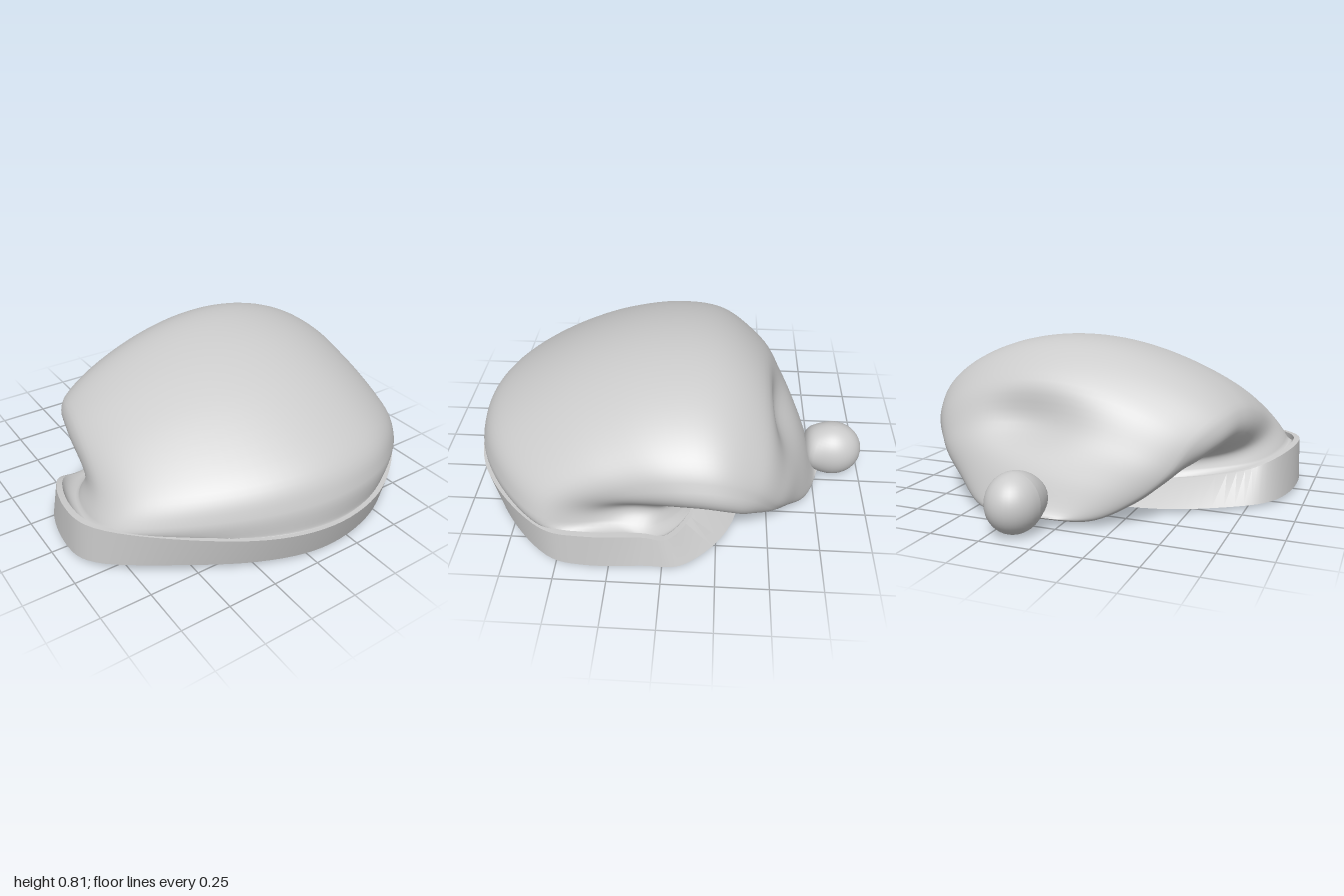
import * as THREE from 'three';
import { toCreasedNormals } from 'three/addons/utils/BufferGeometryUtils.js';

const SEG = 96;
const V = (x, y, z) => new THREE.Vector3(x, y, z);

// Closed loft: rows of points, each row a ring of SEG points
function loft(rows, closeRows) {
  const pos = [], idx = [];
  rows.forEach(r => r.forEach(p => pos.push(p.x, p.y, p.z)));
  const n = rows.length, last = closeRows ? n : n - 1;
  for (let i = 0; i < last; i++) {
    for (let j = 0; j < SEG; j++) {
      const k = (j + 1) % SEG, m = (i + 1) % n;
      const a = i * SEG + j, b = i * SEG + k, c = m * SEG + k, d = m * SEG + j;
      idx.push(a, b, c, a, c, d);
    }
  }
  const g = new THREE.BufferGeometry();
  g.setAttribute('position', new THREE.Float32BufferAttribute(pos, 3));
  g.setIndex(idx);
  g.computeVertexNormals();
  return g;
}

// Opening outline, from the front round by the left side: x, z, top height, bottom height
const RIM = [
  [.08, 1.0, .19, .02], [.40, .95, .19, .02], [.67, .79, .20, .03], [.89, .56, .21, .04],
  [.93, .36, .21, .03], [.91, .10, .18, .02], [.88, -.12, .155, .02], [.60, -.33, .13, .02],
  [.10, -.39, .11, .02], [-.35, -.36, .12, .02], [-.70, -.19, .16, .02], [-.87, -.01, .22, .02],
  [-.93, .27, .25, .03], [-.88, .48, .25, .05], [-.62, .71, .23, .06], [-.25, .92, .20, .04],
];

function ring(fn) {
  const c = new THREE.CatmullRomCurve3(RIM.map(fn), true, 'catmullrom', .5);
  return Array.from({ length: SEG }, (_, j) => c.getPoint(j / SEG));
}
const inset = (p, s) => V(p.x * s, p.y, .3 + (p.z - .3) * s);

// The band leans outwards in front and inwards at the back
const backness = z => THREE.MathUtils.smoothstep(-z, -.1, .36);
const outerTop = ring(([x, z, t]) => V(x * (z > .1 ? .99 : .97), t, z + .17 * backness(z)));
const outerBottom = ring(([x, z, , b]) => V(x, b, z > .4 ? z - (z - .4) * .09 : z));
const innerTop = outerTop.map(p => inset(p, .968));
const innerBottom = outerBottom.map(p => inset(p, .972));

// Stations of the folded cap: outer y, z; inner fold y, z; right edge x, left edge x
const STATIONS = [
  [.19, .965, .11, -.20, -.88, .90],
  [.32, .97, .15, -.19, -.84, .87],
  [.48, .87, .185, -.20, -.78, .85],
  [.685, .50, .20, -.23, -.74, .86],
  [.795, .12, .20, -.27, -.70, .88],
  [.795, -.23, .17, -.31, -.65, .87],
  [.64, -.49, .13, -.36, -.55, .81],
  [.42, -.61, .08, -.42, -.46, .72],
  [.24, -.69, .03, -.50, -.33, .58],
  [.08, -.755, .005, -.62, -.14, .42],
  [.07, -.80, .05, -.77, .10, .18],
];

// Soft dents: centre, spread, push
const DENTS = [
  [V(.25, .46, -.57), V(.25, .14, .14), V(0, -.02, .07)],
  [V(.87, .25, .18), V(.2, .09, .19), V(-.05, 0, 0)],
];

function capGeometry() {
  const curve = f => new THREE.CatmullRomCurve3(STATIONS.map(f), false, 'catmullrom', .5);
  const outer = curve(s => V(0, s[0], s[1]));
  const inner = curve(s => V(0, s[2], s[3]));
  const width = curve(s => V(s[4], s[5], 0));
  const shape = ring(([x, z]) => V(x / .93, 0, (z - .305) / .695));
  const rows = [], N = 70;
  for (let i = 0; i <= N; i++) {
    const t = i / N;
    const O = outer.getPoint(t), I = inner.getPoint(t), W = width.getPoint(t);
    const rimLike = 1 - THREE.MathUtils.smoothstep(t, 0, .45);
    // Sections are egg shaped over the crown, fuller towards the fold
    const egg = .22 * THREE.MathUtils.smoothstep(t, .1, .35) * (1 - THREE.MathUtils.smoothstep(t, .55, .75));
    const atBand = Math.max(0, 1 - t / .08);
    const row = [];
    for (let j = 0; j < SEG; j++) {
      const th = j / SEG * Math.PI * 2, c = Math.cos(th);
      const a = THREE.MathUtils.lerp(c, shape[j].z, rimLike);
      const b = THREE.MathUtils.lerp(Math.sin(th) * (1 - egg * c), shape[j].x, rimLike);
      const p = I.clone().lerp(O, (a + 1) / 2);
      p.x = (W.x + W.y) / 2 + b * (W.y - W.x) / 2 + .09 * Math.max(0, a) * Math.sin(Math.PI * t);
      const q = p.clone();
      for (const [centre, s, push] of DENTS) {
        const d = p.clone().sub(centre).divide(s);
        q.addScaledVector(push, Math.exp(-d.lengthSq()));
      }
      row.push(q.lerp(innerTop[j], atBand));
    }
    rows.push(row);
  }
  return loft(rows, false);
}

// Pompom: a ball with a blunter end towards the cap
function pompomGeometry() {
  const g = new THREE.SphereGeometry(1, 32, 24);
  const p = g.attributes.position;
  for (let i = 0; i < p.count; i++) {
    const z = p.getZ(i), blunt = Math.max(0, z) ** 4;
    p.setXYZ(i, p.getX(i) * .132 * (1 + .9 * blunt), p.getY(i) * .143 * (1 + .4 * blunt), z * .15);
  }
  g.computeVertexNormals();
  return g;
}

export function createModel() {
  const group = new THREE.Group();
  group.name = 'floppyHat';
  const mat = new THREE.MeshStandardMaterial({ color: 0xcccccc, side: THREE.DoubleSide });
  const add = (name, geo) => {
    const m = new THREE.Mesh(geo, mat);
    m.name = name;
    group.add(m);
    return m;
  };
  add('cap', capGeometry());
  add('band', toCreasedNormals(loft([innerBottom, outerBottom, outerTop, innerTop], true), .7));
  add('pompom', pompomGeometry()).position.set(.15, .148, -.85);
  return group;
}
